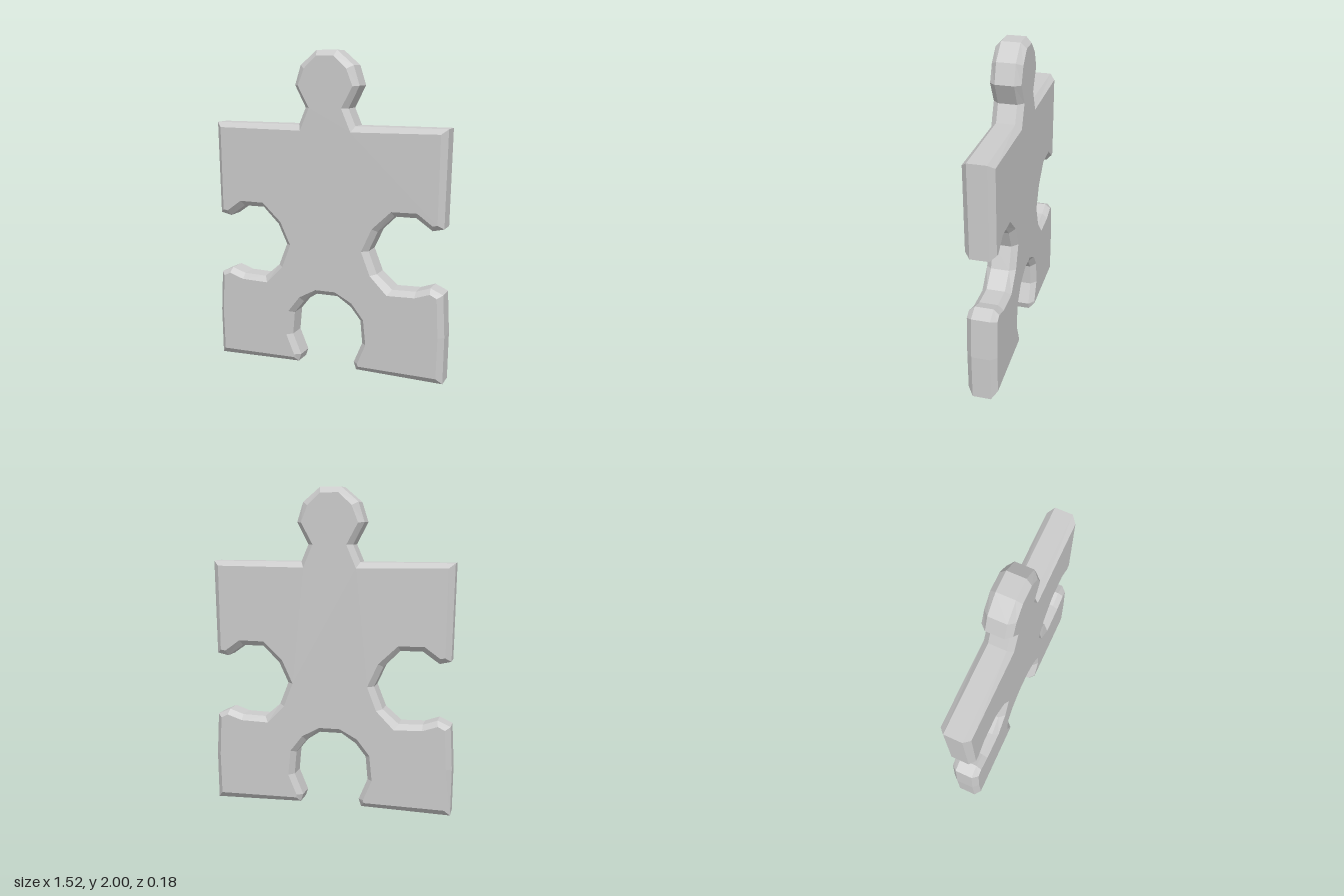
import * as THREE from 'three';

// Right half of the outline, top to bottom: [rim x, rim y, face x, face y]
const HALF = [
  // knob and neck
  [0.066, 2.0, 0.057, 1.965], [0.172, 1.91, 0.137, 1.89], [0.21, 1.79, 0.177, 1.787],
  [0.14, 1.655, 0.105, 1.655], [0.185, 1.55, 0.165, 1.515],
  // shoulder
  [0.757, 1.55, 0.72, 1.52], [0.745, 0.963, 0.712, 0.988],
  // side socket
  [0.675, 0.947, 0.682, 0.983], [0.574, 1.018, 0.587, 1.052], [0.437, 1.018, 0.427, 1.05],
  [0.333, 0.915, 0.305, 0.935], [0.275, 0.79, 0.238, 0.79], [0.33, 0.65, 0.295, 0.643],
  [0.43, 0.563, 0.405, 0.53], [0.58, 0.567, 0.58, 0.535], [0.67, 0.598, 0.675, 0.567],
  // lower corner
  [0.749, 0.562, 0.718, 0.545], [0.762, 0.3, 0.729, 0.3], [0.757, 0.003, 0.722, 0.043],
  // bottom socket
  [0.198, 0.016, 0.22, 0.049], [0.182, 0.063, 0.217, 0.068], [0.238, 0.196, 0.271, 0.196],
  [0.225, 0.342, 0.255, 0.355], [0.16, 0.423, 0.177, 0.455], [0.07, 0.482, 0.066, 0.515],
];

const FACE_Z = 0.092; // flat faces
const RIM_Z = 0.057;  // where the bevel meets the rim

function bevelledPlate(half) {
  // counter-clockwise loop: up the right side, down the mirrored left side
  const loop = [...half].reverse().concat(half.map(([a, b, c, d]) => [-a, b, -c, d]));
  const rim = loop.map(p => new THREE.Vector2(p[0], p[1]));
  const face = loop.map(p => new THREE.Vector2(p[2], p[3]));
  const n = loop.length;

  // four rings from back to front
  const positions = [];
  for (const [ring, z] of [[face, -FACE_Z], [rim, -RIM_Z], [rim, RIM_Z], [face, FACE_Z]]) {
    for (const p of ring) positions.push(p.x, p.y, z);
  }

  // bevels and rim
  const index = [];
  for (let r = 0; r < 3; r++) {
    for (let i = 0; i < n; i++) {
      const j = (i + 1) % n;
      const a = r * n + i, b = r * n + j, c = b + n, d = a + n;
      index.push(a, b, c, a, c, d);
    }
  }
  // front and back faces
  for (const [a, b, c] of THREE.ShapeUtils.triangulateShape(face, [])) {
    index.push(3 * n + a, 3 * n + b, 3 * n + c, a, c, b);
  }

  const indexed = new THREE.BufferGeometry();
  indexed.setAttribute('position', new THREE.Float32BufferAttribute(positions, 3));
  indexed.setIndex(index);
  const geometry = indexed.toNonIndexed();
  geometry.computeVertexNormals();
  return geometry;
}

export function createModel() {
  const group = new THREE.Group();
  group.name = 'puzzlePiece';
  const material = new THREE.MeshStandardMaterial({ color: 0xcccccc, flatShading: true });
  const plate = new THREE.Mesh(bevelledPlate(HALF), material);
  plate.name = 'bevelledPlate';
  group.add(plate);
  return group;
}
